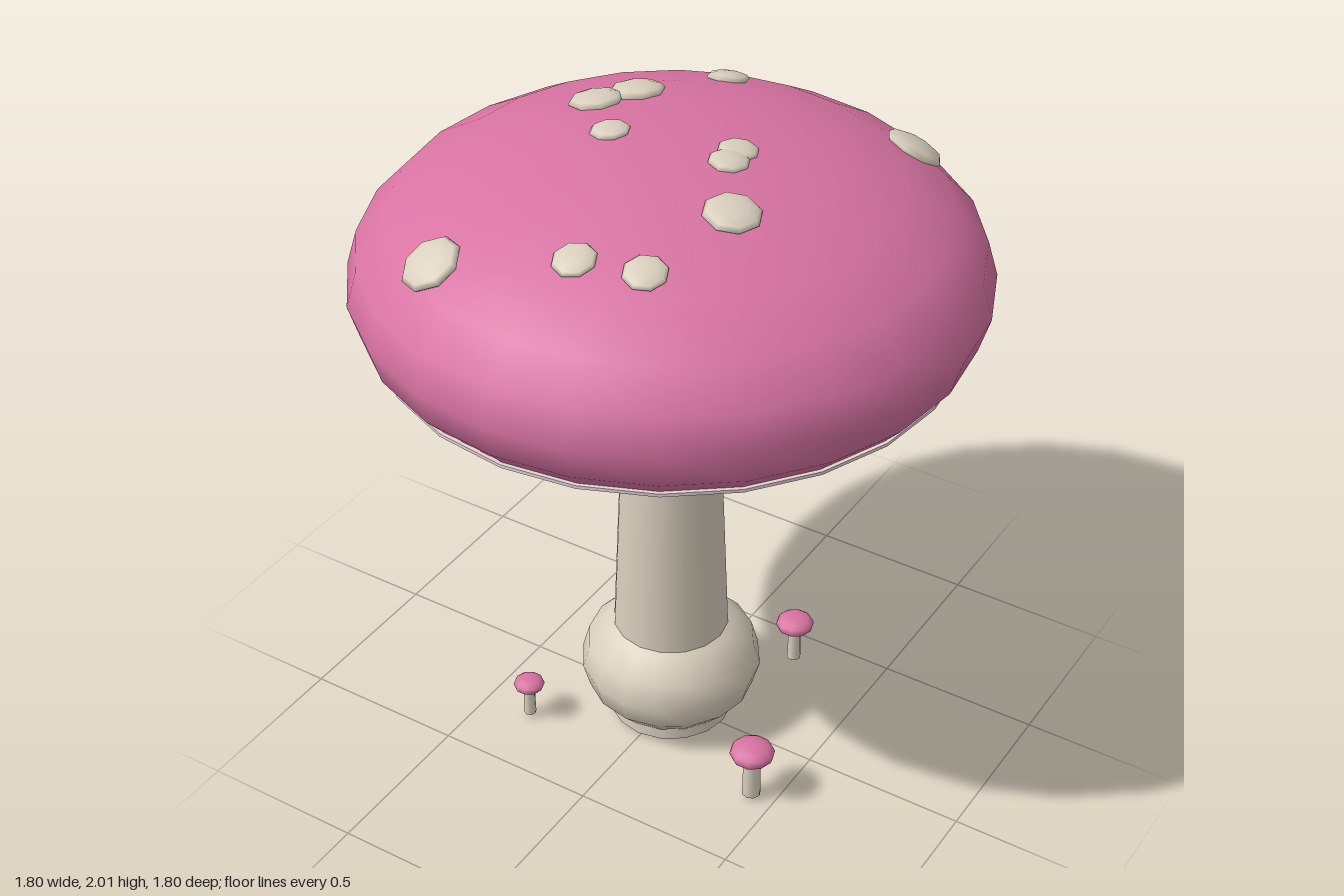
import * as THREE from 'three';

export function createModel() {
  const model = new THREE.Group();
  model.name = 'mushroom';
  const pink = new THREE.MeshStandardMaterial({ name: 'cap pink', color: 0xd873a2 });
  const cream = new THREE.MeshStandardMaterial({ name: 'cream', color: 0xd9cfbd });
  const pale = new THREE.MeshStandardMaterial({ name: 'pale gill', color: 0xe6d2d2 });

  function add(name, geometry, material, x, y, z, parent = model) {
    const mesh = new THREE.Mesh(geometry, material);
    mesh.name = name;
    mesh.position.set(x, y, z);
    parent.add(mesh);
    return mesh;
  }
  // Sphere flattened along y
  const ellipsoid = (r, h, seg, rings) => new THREE.SphereGeometry(r, seg, rings).scale(1, h / r, 1);

  // Cap and the thin rim just under its widest part
  const CAP_R = 0.9, CAP_H = 0.4, CAP_Y = 1.6;
  add('cap', ellipsoid(CAP_R, CAP_H, 24, 12), pink, 0, CAP_Y, 0);
  add('gillRim', new THREE.CylinderGeometry(0.83, 0.83, 0.01, 24), pale, 0, 1.437, 0);

  // Stem, bulb and collar
  add('stem', new THREE.CylinderGeometry(0.14, 0.19, 1.2, 16), cream, 0, 0.615, 0);
  add('bulb', ellipsoid(0.277, 0.2, 16, 8), cream, 0, 0.2, 0);
  const collar = new THREE.TorusGeometry(0.18, 0.065, 8, 24).rotateX(Math.PI / 2).scale(1, 0.36, 1);
  add('collar', collar, cream, 0, 1.185, 0);

  // Spots lying on the cap: x, z, radius
  const spots = [
    [0.44, -0.58, 0.09], [-0.14, -0.53, 0.064], [-0.27, -0.25, 0.082], [-0.335, -0.14, 0.08],
    [0.17, -0.065, 0.058], [0.18, 0, 0.058], [-0.18, 0.025, 0.058], [0.305, 0.19, 0.082],
    [0.045, 0.535, 0.062], [0.23, 0.49, 0.062], [-0.335, 0.64, 0.09],
  ];
  const up = new THREE.Vector3(0, 1, 0);
  for (const [x, z, r] of spots) {
    const h = CAP_H * Math.sqrt(1 - (x * x + z * z) / CAP_R ** 2);
    const normal = new THREE.Vector3(x / CAP_R ** 2, h / CAP_H ** 2, z / CAP_R ** 2).normalize();
    const spot = add('spot', ellipsoid(r, r * 0.3, 8, 6), cream, x, CAP_Y + h, z);
    spot.quaternion.setFromUnitVectors(up, normal);
  }

  // Small mushrooms around the base: x, z, cap height, cap radius, stem radius
  const sprouts = [
    [0.428, 0.23, 0.177, 0.068, 0.029],
    [-0.34, 0.285, 0.13, 0.048, 0.019],
    [0.225, -0.38, 0.152, 0.06, 0.022],
  ];
  for (const [x, z, y, r, stemR] of sprouts) {
    const sprout = new THREE.Group();
    sprout.name = 'smallMushroom';
    sprout.position.set(x, 0, z);
    model.add(sprout);
    add('smallStem', new THREE.CylinderGeometry(stemR * 0.9, stemR, y - 0.015, 8), cream, 0, (y + 0.015) / 2, 0, sprout);
    add('smallCap', ellipsoid(r, r * 0.5, 10, 8), pink, 0, y, 0, sprout);
  }
  return model;
}
